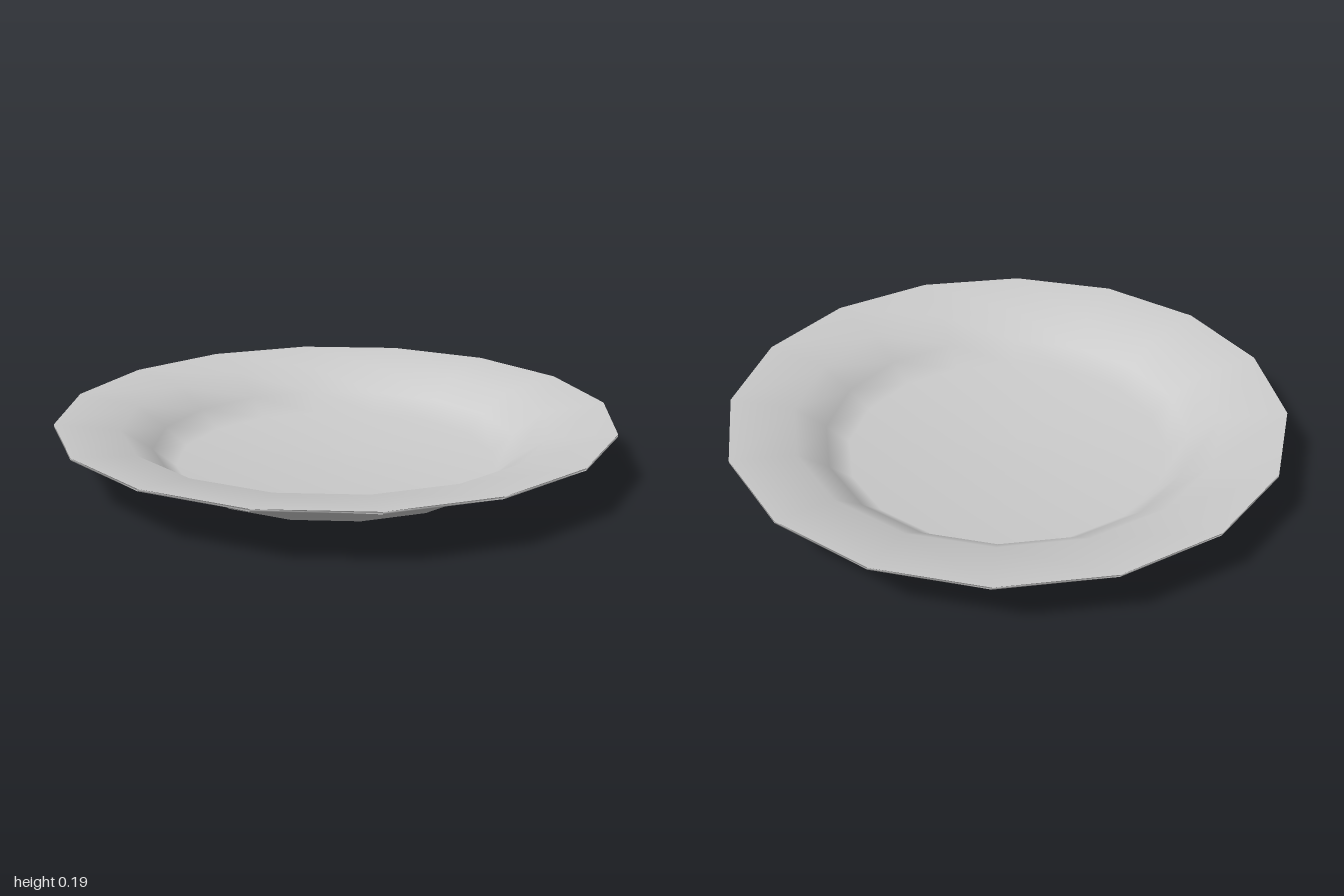
import * as THREE from 'three';

const SIDES = 16;

export function createModel() {
  const model = new THREE.Group();
  model.name = 'plate';
  const material = new THREE.MeshStandardMaterial({ color: 0xcccccc, side: THREE.DoubleSide });

  // Dish: up the outer wall, around the thin rim, down to the middle of the floor
  const profile = [
    [0.585, 0], [0.67, 0.08], [0.77, 0.145], [1, 0.183],
    [1, 0.191], [0.77, 0.16], [0.66, 0.085], [0.58, 0.02], [0, 0.015],
  ].map(([r, y]) => new THREE.Vector2(r, y));
  const dish = new THREE.Mesh(new THREE.LatheGeometry(profile, SIDES), material);
  dish.name = 'dish';

  // Flat underside, kept separate for a crisp foot edge
  const base = new THREE.Mesh(new THREE.CircleGeometry(0.585, SIDES).rotateX(Math.PI / 2), material);
  base.name = 'base';

  model.add(dish, base);
  return model;
}
